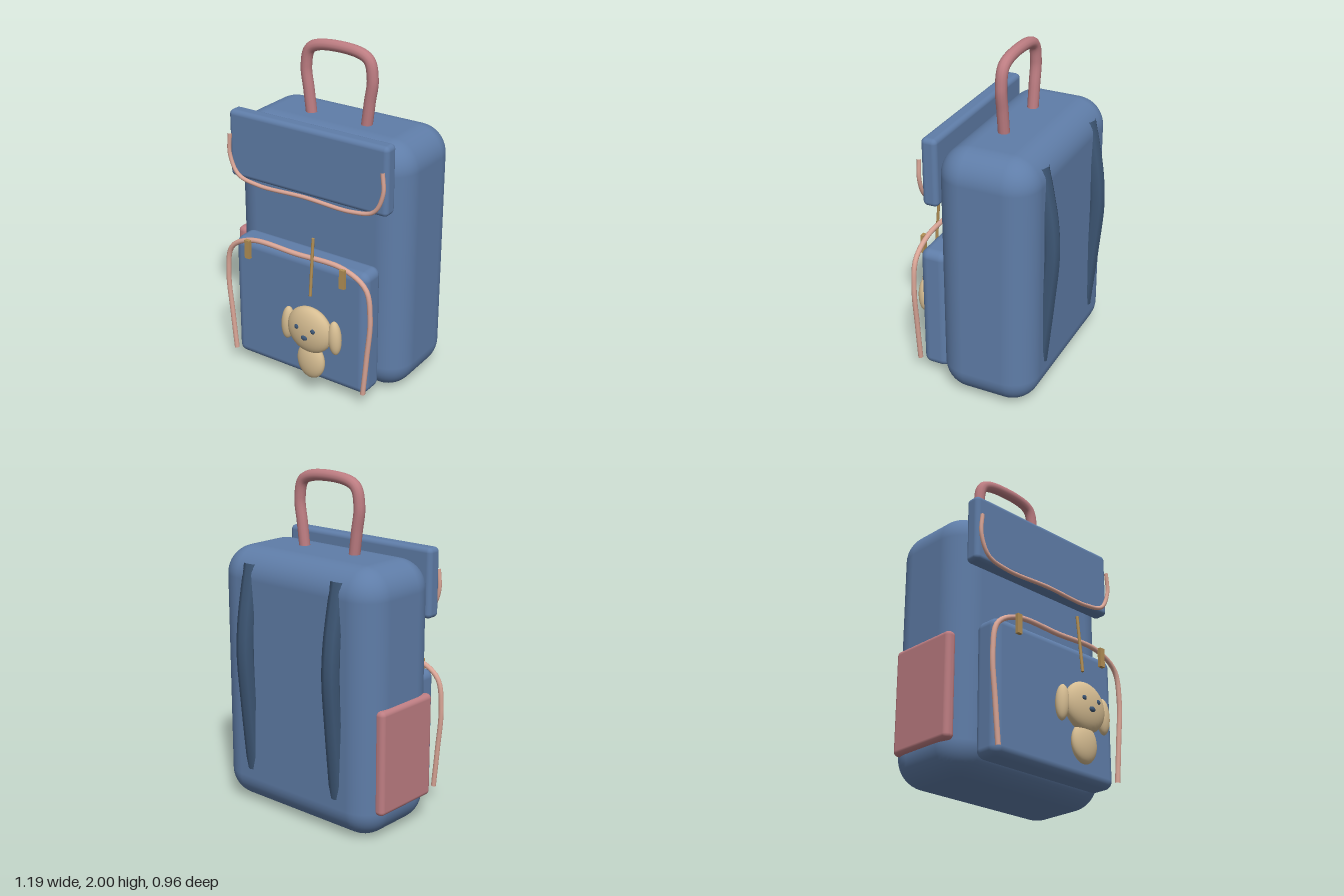
import * as THREE from 'three';
import { RoundedBoxGeometry } from 'three/addons/geometries/RoundedBoxGeometry.js';

const AXIS = 0.012; // x of the bag's plane of symmetry

function material(name, color) {
  const m = new THREE.MeshStandardMaterial({ color });
  m.name = name;
  return m;
}

export function createModel() {
  const fabric = material('blue fabric', 0x5f7da8);
  const strapFabric = material('dark blue', 0x3d5674);
  const rose = material('rose leather', 0xbd7d82);
  const piping = material('pale pink piping', 0xd9a596);
  const brass = material('brass', 0xb28f55);
  const plush = material('tan plush', 0xd6bd92);

  const bag = new THREE.Group();
  bag.name = 'backpack';

  function add(name, geometry, mat, x = 0, y = 0, z = 0, parent = bag) {
    const mesh = new THREE.Mesh(geometry, mat);
    mesh.name = name;
    mesh.position.set(x, y, z);
    parent.add(mesh);
    return mesh;
  }

  // Rounded box given by its extents on each axis
  function box(name, mat, [x0, x1], [y0, y1], [z0, z1], radius) {
    const g = new RoundedBoxGeometry(x1 - x0, y1 - y0, z1 - z0, 6, radius);
    return add(name, g, mat, (x0 + x1) / 2, (y0 + y1) / 2, (z0 + z1) / 2);
  }

  // Tube through the left half of a path and its mirror image; last point is at the centre
  function arch(name, mat, half, z, radius) {
    const left = half.map(([x, y]) => new THREE.Vector3(x, y, 0));
    const right = half.slice(0, -1).reverse().map(([x, y]) => new THREE.Vector3(-x, y, 0));
    const curve = new THREE.CatmullRomCurve3([...left, ...right]);
    return add(name, new THREE.TubeGeometry(curve, 80, radius, 12), mat, AXIS, 0, z);
  }

  function ellipsoid(name, mat, parent, [x, y, z], [rx, ry, rz]) {
    const mesh = add(name, new THREE.SphereGeometry(1, 32, 20), mat, x, y, z, parent);
    mesh.scale.set(rx, ry, rz);
    return mesh;
  }

  // Main volumes
  box('mainBody', fabric, [-0.57, 0.593], [0.005, 1.55], [-0.408, 0.175], 0.17);
  box('topFlap', fabric, [-0.522, 0.542], [1.185, 1.59], [0.162, 0.256], 0.028);
  box('frontPocket', fabric, [-0.447, 0.469], [0.066, 0.844], [0.165, 0.332], 0.05);
  box('sidePocket', rose, [-0.595, -0.53], [0.168, 0.782], [-0.323, 0.118], 0.028);

  // Carrying handle
  arch('handle', rose, [
    [-0.185, 1.52], [-0.205, 1.68], [-0.222, 1.82], [-0.19, 1.93], [0, 1.967],
  ], -0.075, 0.033);

  // Piping on the flap and around the front pocket
  arch('flapPiping', piping, [
    [-0.512, 1.458], [-0.517, 1.33], [-0.46, 1.215], [-0.32, 1.18], [0, 1.187],
  ], 0.274, 0.012);
  arch('pocketPiping', piping, [
    [-0.455, 0.1], [-0.477, 0.336], [-0.497, 0.6], [-0.465, 0.78], [-0.32, 0.862], [0, 0.865],
  ], 0.35, 0.015);

  // Shoulder straps, bowed out from the back
  const strapPath = new THREE.CatmullRomCurve3([
    [1.465, -0.353], [1.3, -0.388], [1.12, -0.418], [0.94, -0.428], [0.65, -0.405], [0.235, -0.363],
  ].map(([y, z]) => new THREE.Vector3(0, y, z)));
  for (const side of [-1, 1]) {
    const label = side > 0 ? 'left' : 'right';
    const x = AXIS + side * 0.328;
    add(label + 'ShoulderStrap', new THREE.TubeGeometry(strapPath, 32, 0.053, 8), strapFabric, x);
    // Zip pulls
    add(label + 'ZipPull', new THREE.BoxGeometry(0.034, 0.115, 0.022), brass, x, 0.812, 0.373);
  }

  // Hanging plush dog charm
  const charm = new THREE.Group();
  charm.name = 'dogCharm';
  charm.position.x = 0.145;
  bag.add(charm);

  const cord = add('charmCord', new THREE.CylinderGeometry(0.009, 0.009, 0.35, 8), brass, 0, 0.835, 0.389, charm);
  cord.rotation.x = -0.088;
  ellipsoid('charmBody', plush, charm, [0, 0.24, 0.4], [0.092, 0.115, 0.043]);
  ellipsoid('charmHead', plush, charm, [0, 0.447, 0.41], [0.149, 0.145, 0.06]);
  ellipsoid('charmNose', strapFabric, charm, [0, 0.42, 0.467], [0.022, 0.016, 0.012]);
  for (const side of [-1, 1]) {
    const ear = ellipsoid('charmEar', plush, charm, [side * 0.162, 0.437, 0.398], [0.04, 0.106, 0.037]);
    ear.rotation.z = side * 0.06;
    ellipsoid('charmEye', strapFabric, charm, [side * 0.055, 0.475, 0.462], [0.015, 0.015, 0.01]);
  }

  return bag;
}
